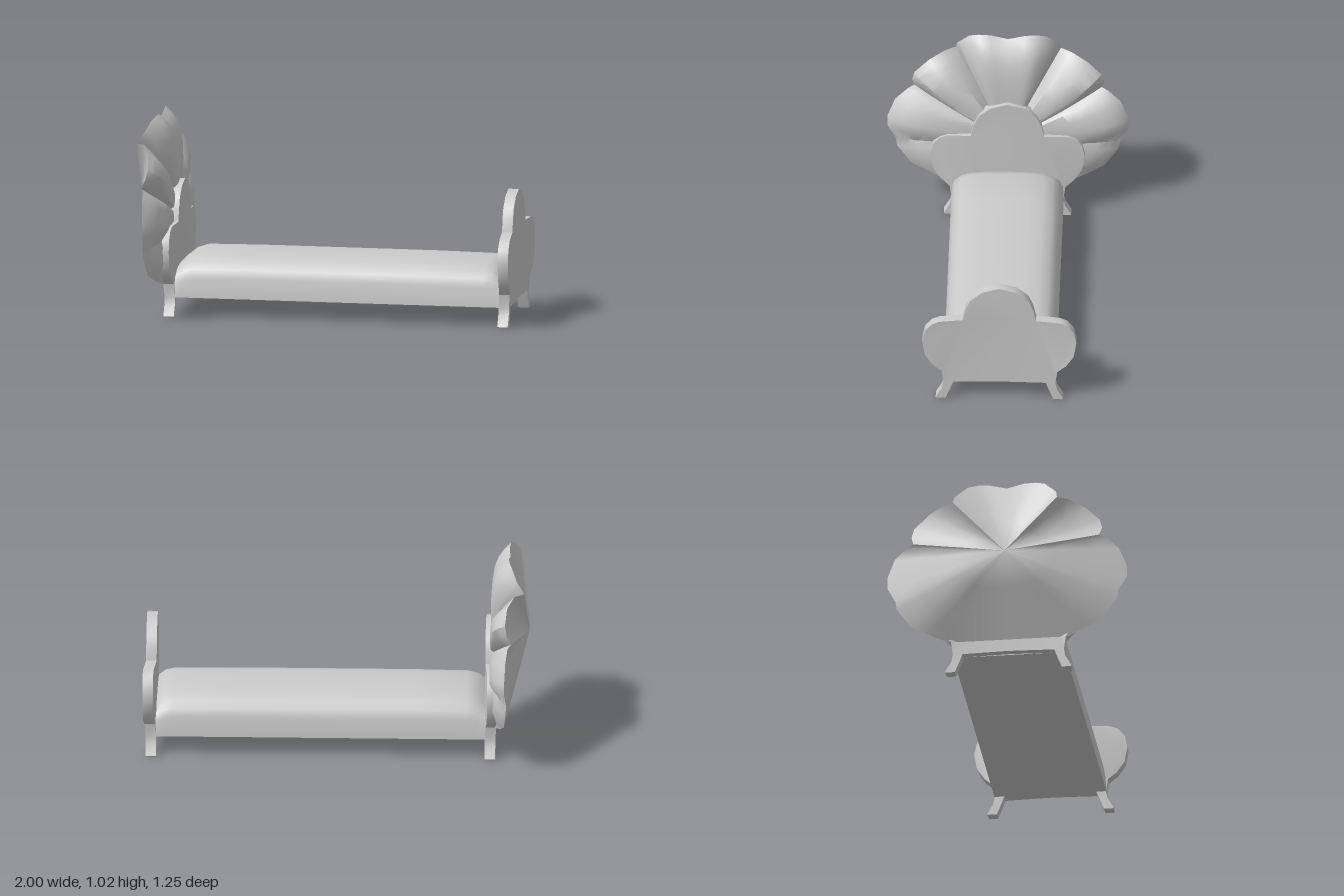
import * as THREE from 'three';
import { toCreasedNormals } from 'three/addons/utils/BufferGeometryUtils.js';

const material = new THREE.MeshStandardMaterial({ color: 0xcccccc });

function part(name, geometry, crease = 0.65) {
  const mesh = new THREE.Mesh(toCreasedNormals(geometry, crease), material);
  mesh.name = name;
  return mesh;
}

// Mirrors a half outline (top centre down to bottom centre) across z = 0
function mirrorLoop(half) {
  const back = half.slice(1, -1).reverse().map(([z, ...rest]) => [-z, ...rest]);
  return [...half, ...back];
}

// Skins closed rings of [x, y, z], ordered from the +x end to the -x end
function loft(rings) {
  const n = rings[0].length;
  const index = [];
  for (let r = 0; r < rings.length - 1; r++) {
    for (let i = 0; i < n; i++) {
      const j = (i + 1) % n;
      const a = r * n + i, b = a + n, c = (r + 1) * n + j, d = r * n + j;
      if (r < rings.length - 2) index.push(a, b, c);
      else index.push(a, b, d);
      if (r > 0 && r < rings.length - 2) index.push(a, c, d);
    }
  }
  const g = new THREE.BufferGeometry();
  g.setAttribute('position', new THREE.Float32BufferAttribute(rings.flat(2), 3));
  g.setIndex(index);
  return g;
}

// Three-lobed end board with splayed feet; side lobes lean outward a little
function createBoard(name) {
  const half = [
    [0, 0.675], [0.09, 0.65], [0.15, 0.6], [0.175, 0.545], [0.19, 0.48],
    [0.31, 0.475], [0.35, 0.46], [0.385, 0.42], [0.4, 0.355], [0.385, 0.27],
    [0.345, 0.21], [0.3, 0.17], [0.29, 0.1], [0.298, 0.06], [0.33, 0.005],
    [0.325, 0], [0.28, 0], [0.255, 0.06], [0.24, 0.1], [0, 0.105],
  ];
  const shape = new THREE.Shape(mirrorLoop(half).map(([z, y]) => new THREE.Vector2(z, y)));
  const g = new THREE.ExtrudeGeometry(shape, { depth: 0.055, bevelEnabled: false });
  g.rotateY(Math.PI / 2);
  const p = g.attributes.position;
  for (let i = 0; i < p.count; i++) {
    const side = THREE.MathUtils.smoothstep(Math.abs(p.getZ(i)), 0.17, 0.35);
    const lift = THREE.MathUtils.smoothstep(p.getY(i), 0.1, 0.25);
    p.setX(i, p.getX(i) + 0.014 * side * lift);
  }
  return part(name, g);
}

// Soft mattress with rounded long edges and sloping ends
function createMattress() {
  const section = mirrorLoop([
    [0, 0.315], [0.12, 0.312], [0.19, 0.303], [0.24, 0.285], [0.272, 0.25],
    [0.287, 0.205], [0.292, 0.1], [0, 0.1],
  ]);
  const stations = [
    [0.94, 0.7], [0.92, 0.8], [0.89, 0.92], [0.84, 0.98], [0.5, 1], [0, 1],
    [-0.4, 1], [-0.68, 0.98], [-0.73, 0.9], [-0.76, 0.78], [-0.79, 0.68],
  ];
  const ring = ([x, h]) => section.map(([z, y]) => [x, 0.1 + (y - 0.1) * h, z]);
  const cap = (x) => section.map(() => [x, 0.18, 0]);
  return part('mattress', loft([cap(0.94), ...stations.map(ring), cap(-0.79)]));
}

// Puffed shell of petals: rim points are [z, y, x, fullness]
function createPetalFan() {
  const rim = mirrorLoop([
    [0, 1.0, -0.9, 7], [0.09, 1.025, -0.895, 8], [0.15, 1.025, -0.9, 8],
    [0.2, 1.01, -0.915, 6], [0.25, 0.96, -0.94, 3], [0.265, 0.94, -0.955, 2],
    [0.272, 0.9, -0.98, 1.1], [0.33, 0.905, -0.93, 3], [0.41, 0.87, -0.895, 7],
    [0.485, 0.8, -0.885, 8], [0.497, 0.75, -0.895, 4], [0.485, 0.7, -0.92, 1.8],
    [0.52, 0.69, -0.9, 3], [0.585, 0.63, -0.89, 6], [0.625, 0.53, -0.885, 8],
    [0.625, 0.47, -0.885, 8], [0.582, 0.39, -0.895, 3], [0.575, 0.345, -0.89, 4],
    [0.5, 0.245, -0.88, 6], [0.41, 0.205, -0.86, 5], [0.31, 0.17, -0.83, 3],
    [0, 0.17, -0.83, 3],
  ]);
  const front = (t) => rim.map(([z, y, x, full]) =>
    [-0.8 + (x + 0.8) * t ** full, 0.45 + (y - 0.45) * t, z * t]);
  const back = (t) => rim.map(([z, y, x]) =>
    [-1 + (x + 1) * t, 0.6 + (y - 0.6) * t, z * t]);
  const rings = [0, 0.25, 0.4, 0.55, 0.68, 0.8, 0.88, 0.95, 1].map(front);
  rings.push(...[0.75, 0.4, 0].map(back));
  return part('petalFan', loft(rings), 0.75);
}

export function createModel() {
  const model = new THREE.Group();
  model.name = 'petalBed';

  const footboard = createBoard('footboard');
  footboard.position.x = 0.927;

  const headboard = createBoard('headboard');
  headboard.rotation.y = Math.PI;
  headboard.position.x = -0.775;

  model.add(footboard, headboard, createMattress(), createPetalFan());
  return model;
}
